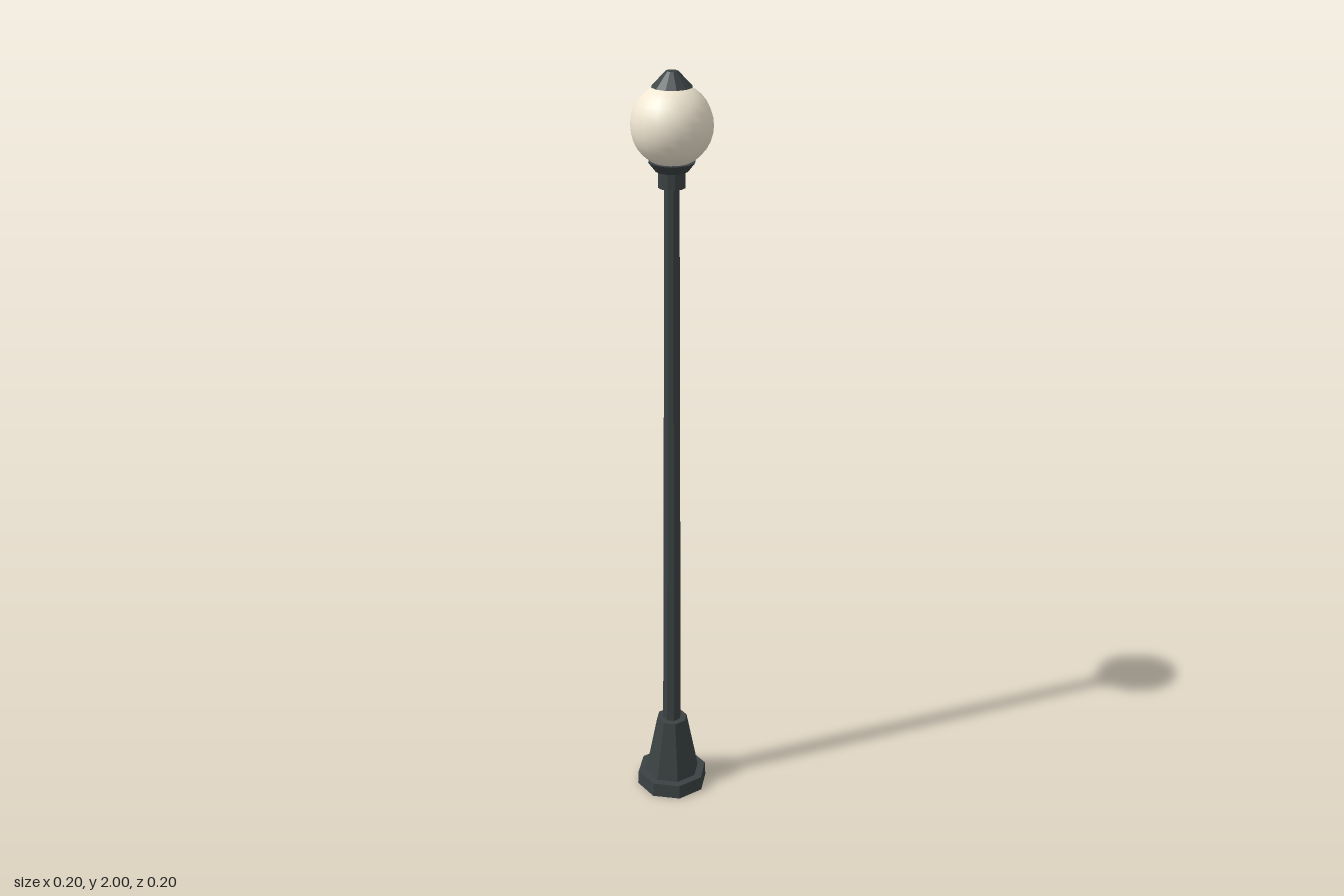
import * as THREE from 'three';

const metal = new THREE.MeshStandardMaterial({ color: 0x3b4243, flatShading: true });
const glass = new THREE.MeshStandardMaterial({ color: 0xf0e6d2 });

export function createModel() {
  const lamp = new THREE.Group();
  lamp.name = 'streetLamp';

  // Tapered round section standing between two heights
  function section(name, y0, y1, r0, r1, sides) {
    const mesh = new THREE.Mesh(new THREE.CylinderGeometry(r1, r0, y1 - y0, sides), metal);
    mesh.position.y = (y0 + y1) / 2;
    mesh.name = name;
    lamp.add(mesh);
  }

  // Octagonal foot and tapered pedestal
  section('basePlate', 0, 0.04, 0.098, 0.096, 8);
  section('pedestal', 0.04, 0.21, 0.075, 0.042, 8);

  // Slightly tapering pole
  section('pole', 0.2, 1.73, 0.025, 0.019, 8);

  // Collar and flared cup under the globe
  section('collar', 1.722, 1.765, 0.034, 0.034, 12);
  section('globeCup', 1.762, 1.785, 0.04, 0.058, 12);

  // Glass globe
  const globe = new THREE.Mesh(new THREE.SphereGeometry(0.1, 20, 16), glass);
  globe.position.y = 1.873;
  globe.name = 'globe';
  lamp.add(globe);

  // Cap on top of the globe
  section('cap', 1.963, 2, 0.05, 0.015, 12);

  return lamp;
}
